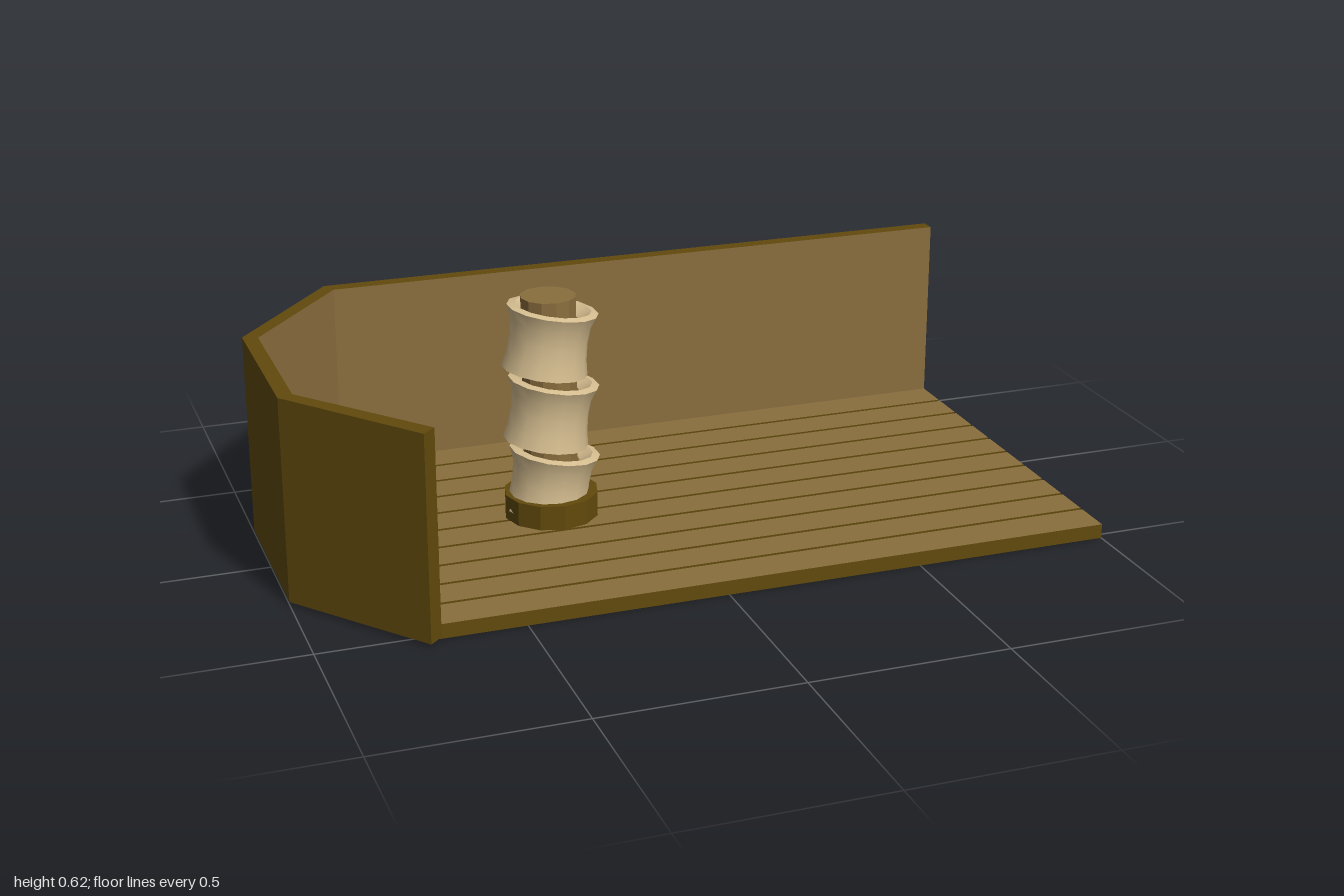
import * as THREE from 'three';

const lightWood = new THREE.MeshStandardMaterial({ color: 0x8a6e3e });
lightWood.name = 'lightWood';
const darkWood = new THREE.MeshStandardMaterial({ color: 0x624a0c });
darkWood.name = 'darkWood';
const paleSleeve = new THREE.MeshStandardMaterial({ color: 0xd6be90 });
paleSleeve.name = 'paleSleeve';

function add(parent, name, geometry, material) {
  const mesh = new THREE.Mesh(geometry, material);
  mesh.name = name;
  parent.add(mesh);
  return mesh;
}

// Flat slab from an [x, z] outline, between two heights
function slab(outline, y0, y1) {
  const shape = new THREE.Shape(outline.map(([x, z]) => new THREE.Vector2(x, -z)));
  const g = new THREE.ExtrudeGeometry(shape, { depth: y1 - y0, bevelEnabled: false });
  return g.rotateX(-Math.PI / 2).translate(0, y0, 0);
}

// Flat-shaded quads, corners counter-clockwise
function quads(list) {
  const pos = [];
  for (const [a, b, c, d] of list) pos.push(...a, ...b, ...c, ...a, ...c, ...d);
  const g = new THREE.BufferGeometry();
  g.setAttribute('position', new THREE.Float32BufferAttribute(pos, 3));
  g.computeVertexNormals();
  return g;
}

function faceted(g) {
  const flat = g.toNonIndexed();
  flat.computeVertexNormals();
  return flat;
}

// Left end of the floor, with its corners cut off
const floorEnd = z => -0.965 + Math.max(0, Math.abs(z) - 0.21) * 0.82;

function buildFloor() {
  const floor = new THREE.Group();
  floor.name = 'floor';
  const back = -0.516, front = 0.52;
  const outline = [[1, front], [1, back], [floorEnd(back), back], [-0.965, -0.21],
    [-0.965, 0.21], [floorEnd(front), front]];
  add(floor, 'underside', slab(outline, 0, 0.004), [lightWood, darkWood]);
  add(floor, 'floorBase', slab(outline, 0.004, 0.03), darkWood);
  // Ten planks with narrow dark gaps
  for (let i = 0; i < 10; i++) {
    const z0 = i === 0 ? back : (i - 5) * 0.1035 + 0.005;
    const z1 = i === 9 ? front : (i - 4) * 0.1035 - 0.005;
    const plank = [[1, z1], [1, z0], [floorEnd(z0), z0], [floorEnd(z1), z1]];
    add(floor, 'plank', slab(plank, 0.03, 0.037), [lightWood, darkWood]);
  }
  return floor;
}

function buildWall() {
  const wall = new THREE.Group();
  wall.name = 'wall';
  const y0 = 0.007, y1 = 0.522;
  const outer = [[1, -0.555], [-0.725, -0.555], [-1, -0.22], [-1, 0.225], [-0.74, 0.555]];
  const inner = [[1, -0.516], [-0.708, -0.516], [-0.963, -0.205], [-0.963, 0.212], [-0.708, 0.525]];
  const lo = ([x, z]) => [x, y0, z], hi = ([x, z]) => [x, y1, z];
  const shell = [], lining = [];
  for (let i = 0; i < 4; i++) {
    const a = outer[i], b = outer[i + 1], c = inner[i], d = inner[i + 1];
    shell.push([lo(a), lo(b), hi(b), hi(a)]);
    shell.push([hi(a), hi(b), hi(d), hi(c)]);
    shell.push([lo(c), lo(d), lo(b), lo(a)]);
    lining.push([lo(d), lo(c), hi(c), hi(d)]);
  }
  shell.push([lo(outer[0]), hi(outer[0]), hi(inner[0]), lo(inner[0])]);
  shell.push([lo(outer[4]), lo(inner[4]), hi(inner[4]), hi(outer[4])]);
  add(wall, 'wallShell', quads(shell), darkWood);
  add(wall, 'wallLining', quads(lining), lightWood);
  return wall;
}

function buildPost() {
  const post = new THREE.Group();
  post.name = 'post';
  const foot = faceted(new THREE.CylinderGeometry(0.12, 0.12, 0.065, 12));
  add(post, 'postFoot', foot, darkWood).position.y = 0.0675;
  const core = faceted(new THREE.CylinderGeometry(0.07, 0.07, 0.55, 12));
  add(post, 'postCore', core, lightWood).position.y = 0.34;

  // Three tilted, flared sleeves; separate lathes keep the rims sharp
  const lathe = pts => new THREE.LatheGeometry(pts.map(p => new THREE.Vector2(...p)), 14);
  const side = lathe([[0.108, -0.08], [0.101, -0.045], [0.098, 0], [0.102, 0.045], [0.115, 0.078]]);
  const rim = lathe([[0.115, 0.078], [0.096, 0.083]]);
  const throat = lathe([[0.096, 0.083], [0.066, 0.06]]);
  const bottom = lathe([[0.066, -0.075], [0.108, -0.08]]);
  for (const y of [0.127, 0.314, 0.502]) {
    const sleeve = new THREE.Group();
    sleeve.name = 'sleeve';
    add(sleeve, 'sleeveSide', side, paleSleeve);
    add(sleeve, 'sleeveRim', rim, paleSleeve);
    add(sleeve, 'sleeveThroat', throat, paleSleeve);
    add(sleeve, 'sleeveBottom', bottom, paleSleeve);
    sleeve.position.y = y;
    sleeve.rotation.z = -0.15;
    post.add(sleeve);
  }
  post.position.set(-0.278, 0, -0.017);
  return post;
}

export function createModel() {
  const model = new THREE.Group();
  model.name = 'deckWithPost';
  model.add(buildFloor(), buildWall(), buildPost());
  return model;
}
